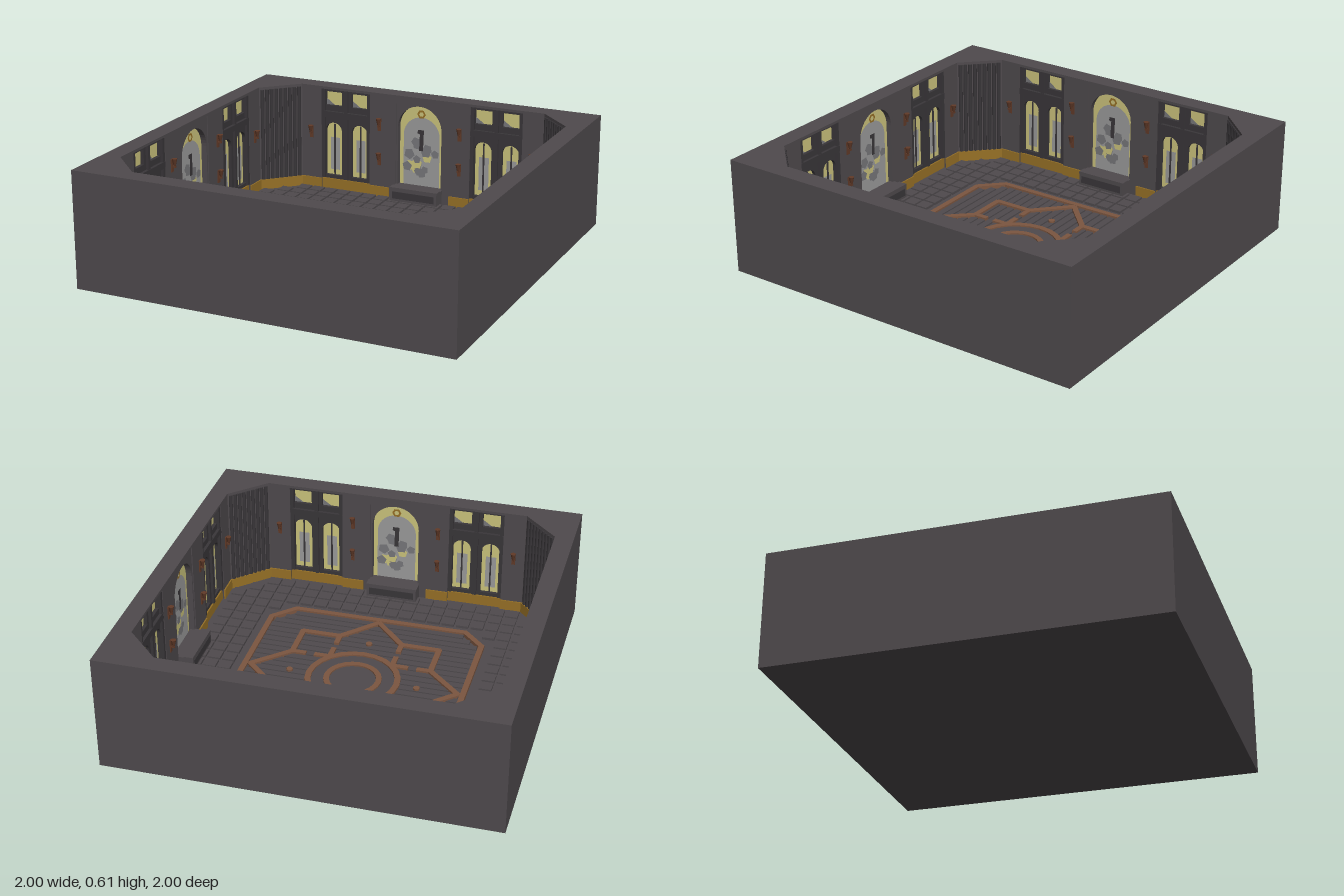
import * as THREE from 'three';
import { mergeGeometries } from 'three/addons/utils/BufferGeometryUtils.js';

const mat = (name, color, side = THREE.FrontSide) => {
  const m = new THREE.MeshStandardMaterial({ color, side });
  m.name = name;
  return m;
};

export function createModel() {
  const stone = mat('stone', 0x4f4a4d);
  const dark = mat('dark wood', 0x393639);
  const copper = mat('copper inlay', 0x7c5640);
  const gold = mat('gold trim', 0x967026);
  const yellow = mat('yellow glass', 0xcbc37c);
  const grey = mat('grey glass', 0x9a9a9a);
  const smoke = mat('smoky glass', 0x77777a);
  const bronze = mat('sconce bronze', 0x613a28);

  const root = new THREE.Group();
  root.name = 'room';
  const H = 0.61, FLOOR = 0.012;

  const add = (parent, name, geo, material) => {
    const m = new THREE.Mesh(geo, material);
    m.name = name;
    parent.add(m);
    return m;
  };
  const box = (w, h, d, x, y, z) => new THREE.BoxGeometry(w, h, d).translate(x, y, z);
  const poly = pts => new THREE.Shape(pts.map(p => new THREE.Vector2(...p)));
  const extrude = (shape, depth) =>
    new THREE.ExtrudeGeometry(shape, { depth, bevelEnabled: false, curveSegments: 12 });
  const slab = (shape, y0, y1) => extrude(shape, y1 - y0).rotateX(-Math.PI / 2).translate(0, y0, 0);
  // Repeats one side's outline around the four sides
  const around = pts => [0, 1, 2, 3].flatMap(k => {
    const c = Math.round(Math.cos(k * Math.PI / 2)), s = Math.round(Math.sin(k * Math.PI / 2));
    return pts.map(([x, y]) => [x * c - y * s, x * s + y * c]);
  });
  const square = () => poly([[-1, -1], [1, -1], [1, 1], [-1, 1]]);
  const arch = (cx, w, y0, y1) => {
    const s = new THREE.Shape(), r = w / 2;
    s.moveTo(cx - r, y0);
    s.lineTo(cx + r, y0);
    s.lineTo(cx + r, y1 - r);
    s.absarc(cx, y1 - r, r, 0, Math.PI, false);
    s.closePath();
    return s;
  };
  const rect = (x0, x1, y0, y1) => poly([[x0, y0], [x1, y0], [x1, y1], [x0, y1]]);
  const plate = (shape, z) => new THREE.ShapeGeometry(shape, 12).translate(0, 0, z);

  // Shell: base slab, walls with recessed bays, and an overhanging rim
  const base = add(root, 'baseSlab', box(2, FLOOR, 2, 0, FLOOR / 2, 0), stone);
  base.name = 'baseSlab';
  const half = [[-0.72, -0.9], [-0.6, -0.9], [-0.6, -0.94], [-0.3, -0.94], [-0.3, -0.9],
    [-0.14, -0.9], [-0.14, -0.94]];
  const side = [...half, ...half.map(([x, y]) => [-x, y]).reverse()];
  const walls = square();
  walls.holes.push(poly(around(side)));
  add(root, 'walls', slab(walls, FLOOR, 0.596), stone);
  const rim = square();
  rim.holes.push(poly(around([[-0.72, -0.9], [0.72, -0.9]])));
  add(root, 'rim', slab(rim, 0.596, H), stone);

  // Floor tiles outside the medallion
  const tiles = [];
  for (let x = -0.84; x < 0.85; x += 0.08)
    for (let z = -0.84; z < 0.85; z += 0.08) {
      const a = Math.abs(x), b = Math.abs(z);
      if (a + b > 1.56 || (Math.max(a, b) < 0.62 && a + b < 1.13)) continue;
      tiles.push(box(0.067, 0.014, 0.067, x, FLOOR + 0.007, z));
    }
  add(root, 'floorTiles', mergeGeometries(tiles), stone);

  // Planks and centre disc of the medallion
  const planks = [];
  for (let i = -12; i <= 12; i++) {
    const z = i * 0.046, w = 2 * Math.min(0.575, 1.02 - Math.abs(z));
    planks.push(box(w, 0.01, 0.037, 0, FLOOR + 0.005, z));
  }
  add(root, 'medallionPlanks', mergeGeometries(planks), stone);
  add(root, 'medallionDisc',
    new THREE.CylinderGeometry(0.24, 0.24, 0.012, 40).translate(0, FLOOR + 0.006, 0), stone);

  // Copper inlay: border, star, stubs, rings and dots
  const inlay = [];
  const bar = ([x1, z1], [x2, z2], w = 0.03, extra = 0.012) => {
    const len = Math.hypot(x2 - x1, z2 - z1);
    inlay.push(new THREE.BoxGeometry(len + extra, 0.02, w)
      .rotateY(-Math.atan2(z2 - z1, x2 - x1))
      .translate((x1 + x2) / 2, FLOOR + 0.01, (z1 + z2) / 2));
  };
  const loop = pts => pts.forEach((p, i) => bar(p, pts[(i + 1) % pts.length]));
  loop(around([[-0.472, -0.583], [0.472, -0.583]]));
  loop(around([[0, -0.555], [0.17, -0.375], [0.375, -0.375], [0.375, -0.17]]));
  for (const sx of [-1, 1]) for (const sz of [-1, 1]) {
    for (const [a, b] of [[0.37, 0.3], [0.255, 0.175]]) {
      bar([sx * 0.17, sz * a], [sx * 0.17, sz * b], 0.028, 0);
      bar([sx * a, sz * 0.17], [sx * b, sz * 0.17], 0.028, 0);
    }
  }
  for (const [ro, ri] of [[0.25, 0.218], [0.152, 0.122]]) {
    const ring = new THREE.Shape().absarc(0, 0, ro, 0, Math.PI * 2, false);
    ring.holes.push(new THREE.Path().absarc(0, 0, ri, 0, Math.PI * 2, true));
    add(root, 'inlayRing', slab(ring, FLOOR, FLOOR + 0.02), copper);
  }
  for (const [x, z] of around([[0, 0.34]]))
    inlay.push(new THREE.CylinderGeometry(0.018, 0.018, 0.02, 8).translate(x, FLOOR + 0.01, z));
  add(root, 'floorInlay', mergeGeometries(inlay.map(g => g.toNonIndexed())), copper);

  // Pair of arched windows with small lights above, in a dark frame
  const sideWindow = (parent, cx) => {
    const g = new THREE.Group();
    g.name = 'sideWindow';
    g.position.x = cx;
    parent.add(g);
    const frame = rect(-0.15, 0.15, 0.07, 0.596);
    for (const x of [-0.08, 0.08]) {
      frame.holes.push(arch(x, 0.1, 0.09, 0.4), rect(x - 0.05, x + 0.05, 0.5, 0.58));
      add(g, 'smokyCorner', plate(poly([[x - 0.05, 0.5], [x, 0.5], [x - 0.05, 0.535]]), -0.933), smoke);
      add(g, 'paleLight', plate(rect(x - 0.028, x + 0.03, 0.12, 0.31), -0.933), grey);
      add(g, 'glazingBar', box(0.008, 0.3, 0.006, x, 0.24, -0.93), dark);
    }
    add(g, 'windowFrame', extrude(frame, 0.022).translate(0, 0, -0.939), dark);
    add(g, 'glass', plate(rect(-0.14, 0.14, 0.08, 0.59), -0.936), yellow);
    add(g, 'mullions', mergeGeometries([-0.14, 0, 0.14].map(x => box(0.02, 0.52, 0.03, x, 0.335, -0.918))), dark);
    add(g, 'transom', box(0.3, 0.035, 0.034, 0, 0.45, -0.918), dark);
    add(g, 'bayBaseboard', box(0.3, 0.058, 0.03, 0, 0.041, -0.924), gold);
  };

  // Large stained glass window above a stepped bench
  const bigWindow = parent => {
    const g = new THREE.Group();
    g.name = 'archedWindow';
    parent.add(g);
    const frame = rect(-0.14, 0.14, 0.08, 0.596);
    frame.holes.push(arch(0, 0.26, 0.09, 0.56));
    add(g, 'archSurround', extrude(frame, 0.034).translate(0, 0, -0.939), stone);
    add(g, 'outerGlass', plate(arch(0, 0.27, 0.085, 0.565), -0.937), yellow);
    add(g, 'innerGlass', plate(arch(0, 0.215, 0.09, 0.49), -0.935), grey);
    let seed = 7;
    const rnd = () => (seed = (seed * 16807) % 2147483647) / 2147483647;
    for (let i = 0; i < 16; i++) {
      const shard = new THREE.CircleGeometry(0.018 + rnd() * 0.016, 5).rotateZ(rnd() * 6)
        .translate((rnd() - 0.5) * 0.19, 0.12 + rnd() * 0.3, -0.933 + i * 0.0002);
      add(g, 'glassShard', shard, i % 4 ? smoke : yellow);
    }
    add(g, 'centreFigure', plate(poly([[-0.012, 0.3], [0.012, 0.3], [0.016, 0.42], [-0.02, 0.42],
      [-0.022, 0.4], [-0.008, 0.395]]), -0.928), dark);
    add(g, 'archOrnament', new THREE.RingGeometry(0.014, 0.026, 6).translate(0, 0.51, -0.928), gold);
    add(g, 'bench', box(0.28, 0.085, 0.11, 0, 0.0545, -0.875), stone);
    add(g, 'benchSeat', box(0.284, 0.012, 0.05, 0, 0.097, -0.845), stone);
    add(g, 'benchPanel', box(0.25, 0.04, 0.004, 0, 0.06, -0.819), dark);
  };

  // Wall sconce: back plate, arm and flared cup
  const sconce = (parent, x, y) => {
    const g = new THREE.Group();
    g.name = 'sconce';
    g.position.set(x, y, -0.9);
    parent.add(g);
    add(g, 'backPlate', box(0.02, 0.07, 0.006, 0, 0, 0.003), bronze);
    add(g, 'arm', box(0.01, 0.01, 0.022, 0, -0.005, 0.013), bronze);
    add(g, 'cup', new THREE.CylinderGeometry(0.015, 0.005, 0.04, 8).translate(0, 0.018, 0.018), bronze);
  };

  // Four identical sides, each with one fluted corner
  for (let k = 0; k < 4; k++) {
    const wall = new THREE.Group();
    wall.name = 'wallSide';
    wall.rotation.y = k * Math.PI / 2;
    root.add(wall);
    bigWindow(wall);
    for (const s of [-1, 1]) {
      sideWindow(wall, s * 0.45);
      for (const [x, w] of [[0.66, 0.12], [0.24, 0.12]])
        add(wall, 'pierBaseboard', box(w, 0.058, 0.008, s * x, 0.041, -0.897), gold);
      sconce(wall, s * 0.66, 0.34);
      sconce(wall, s * 0.24, 0.43);
      sconce(wall, s * 0.24, 0.23);
    }
    const corner = new THREE.Group();
    corner.name = 'flutedCorner';
    corner.position.set(-0.81, 0, -0.81);
    corner.rotation.y = Math.PI / 4;
    wall.add(corner);
    const flutes = [];
    for (let i = -4; i <= 4; i++)
      flutes.push(new THREE.CylinderGeometry(0.012, 0.012, 0.53, 8, 1).translate(i * 0.027, 0.33, -0.003));
    add(corner, 'flutes', mergeGeometries(flutes), dark);
    add(corner, 'cornerBaseboard', box(0.25, 0.058, 0.02, 0, 0.041, 0), gold);
  }
  return root;
}
